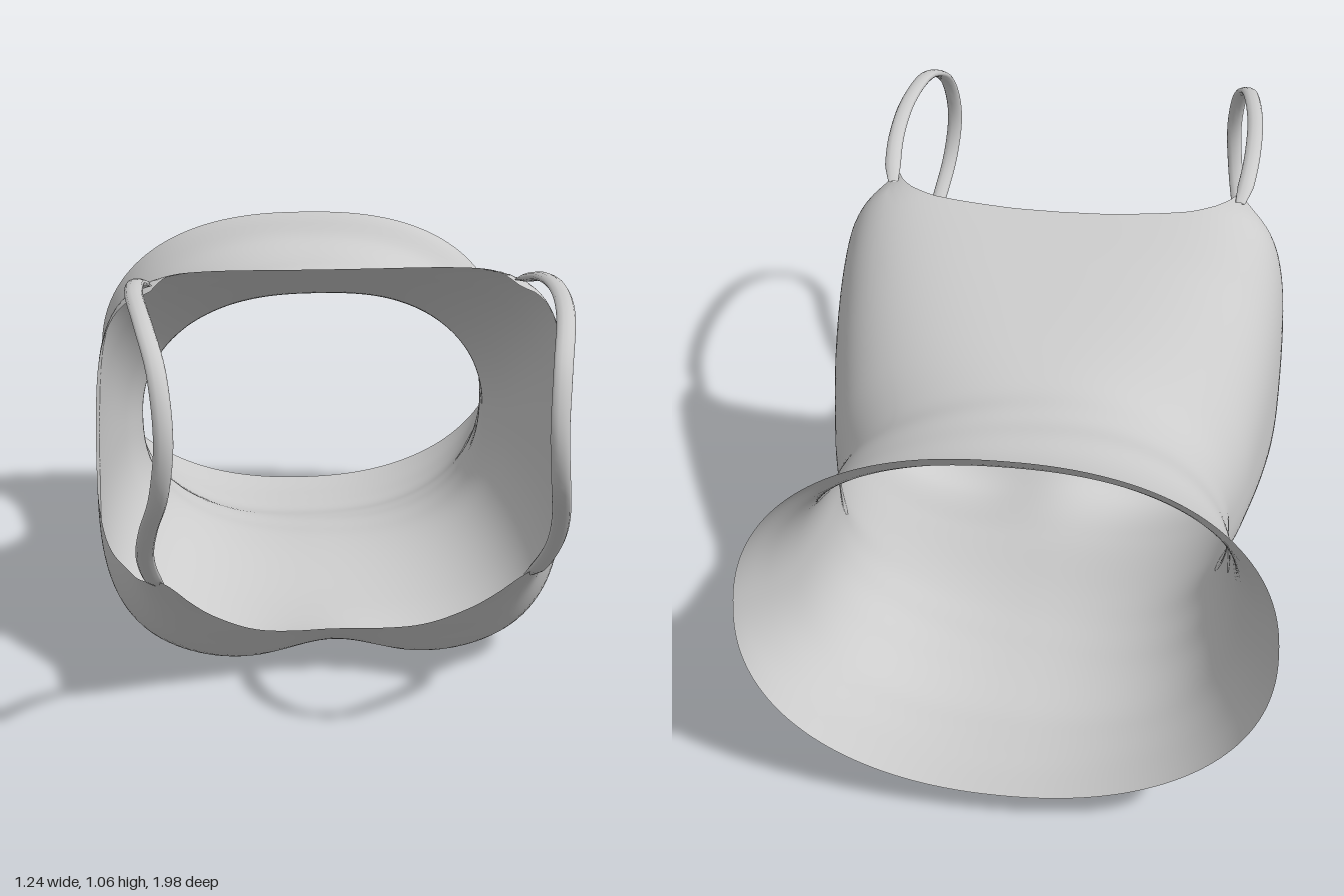
import * as THREE from 'three';

// Body cross-sections: z, half width, bottom y, top y, squareness below, squareness above
const SECTIONS = [
  [-1.0, 0.63, 0.08, 1.0, 2.2, 2.3],
  [-0.9, 0.615, 0.07, 0.99, 2.2, 2.3],
  [-0.84, 0.59, 0.068, 0.965, 2.3, 2.3],
  [-0.78, 0.565, 0.066, 0.9, 2.3, 2.3],
  [-0.7, 0.53, 0.066, 0.865, 2.4, 2.3],
  [-0.58, 0.505, 0.09, 0.845, 2.4, 2.2],
  [-0.4, 0.488, 0.1, 0.825, 2.5, 2.2],
  [-0.25, 0.53, 0.085, 0.85, 2.5, 2.6],
  [0.0, 0.578, 0.03, 0.94, 2.8, 4],
  [0.2, 0.594, -0.014, 1.015, 3.2, 5.7],
  [0.3, 0.577, 0.014, 1.02, 3.4, 5.7],
  [0.42, 0.53, 0.11, 1.03, 3.7, 5.7],
  [0.5, 0.525, 0.198, 1.03, 3.9, 5.7],
  [0.62, 0.53, 0.315, 1.03, 4, 5.7],
];

// Open edge of neckline and armholes: angle (-90 chest centre, 90 back centre), z
const EDGE = [
  [-90, 0.385], [-80, 0.395], [-68, 0.44], [-58, 0.505], [-52, 0.57], [-49, 0.605], [-45, 0.605],
  [-37, 0.5], [-30, 0.42], [-21, 0.33], [-7, 0.245], [6, 0.218], [20, 0.222], [33, 0.24],
  [41, 0.258], [45, 0.282], [48, 0.32], [51, 0.268], [54, 0.22], [60, 0.18], [75, 0.155], [90, 0.15],
];

// Smooth interpolation of one column of a table
function sample(table, t, col) {
  const last = table.length - 1;
  let i = 0;
  while (i < last - 1 && t > table[i + 1][0]) i++;
  const slope = (k) => {
    const a = table[Math.max(k - 1, 0)], b = table[Math.min(k + 1, last)];
    return (b[col] - a[col]) / (b[0] - a[0]);
  };
  const a = table[i], b = table[i + 1], d = b[0] - a[0];
  const u = THREE.MathUtils.clamp((t - a[0]) / d, 0, 1), u2 = u * u, u3 = u2 * u;
  return (2 * u3 - 3 * u2 + 1) * a[col] + (u3 - 2 * u2 + u) * d * slope(i)
    + (3 * u2 - 2 * u3) * b[col] + (u3 - u2) * d * slope(i + 1);
}

// Point of the cloth at an angle and depth
function clothPoint(angle, z) {
  const c = Math.cos(angle), s = Math.sin(angle);
  const [w, bottom, top, nLow, nHigh] = [1, 2, 3, 4, 5].map((k) => sample(SECTIONS, z, k));
  const n = s < 0 ? nLow : nHigh;
  const rho = Math.pow(Math.abs(c) ** n + Math.abs(s) ** n, -1 / n);
  // sides lean in towards the back panel near the armholes
  const lean = s > 0 ? 1 - 0.06 * (rho * s) ** 2 * THREE.MathUtils.smoothstep(z, -0.3, 0.2) : 1;
  const x = w * rho * c * lean;
  let y = (top + bottom) / 2 + rho * s * (top - bottom) / 2;
  // hollow between the two sides of the chest, widening to the neckline
  const hollow = 0.17 + 0.2 * THREE.MathUtils.smoothstep(z, 0.25, 0.45);
  if (s < 0) y += 0.06 * s * s * Math.exp(-((x / hollow) ** 2) - ((z - 0.32) / 0.22) ** 2);
  // soft folds round the waist
  const fold = 0.002 * Math.sin(z * 38 + 2 * Math.sin(angle * 2)) * Math.exp(-(((z + 0.5) / 0.12) ** 2));
  return [x + fold * c, y + fold * s, z];
}

// Grid of points closed round each ring
function ringSurface(rings, around, pointAt) {
  const pos = [], idx = [];
  for (let j = 0; j <= rings; j++) {
    for (let i = 0; i < around; i++) {
      pos.push(...pointAt(i / around, j / rings));
      if (j === rings) continue;
      const a = j * around + i, b = j * around + (i + 1) % around;
      idx.push(a, b, a + around, b, b + around, a + around);
    }
  }
  const geo = new THREE.BufferGeometry();
  geo.setAttribute('position', new THREE.Float32BufferAttribute(pos, 3));
  geo.setIndex(idx);
  geo.computeVertexNormals();
  return geo;
}

// Flattened cord swept along a shoulder loop, thinning where it joins the cloth
function strapGeometry(side) {
  const path = new THREE.CatmullRomCurve3([
    [0.455, 0.99, 0.265], [0.467, 1.01, 0.33], [0.477, 1.035, 0.44], [0.477, 1.047, 0.62],
    [0.455, 1.027, 0.82], [0.428, 0.95, 0.94], [0.417, 0.82, 0.985], [0.43, 0.69, 0.955],
    [0.457, 0.57, 0.84], [0.468, 0.465, 0.72], [0.455, 0.375, 0.62], [0.44, 0.338, 0.575],
  ].map(([x, y, z]) => new THREE.Vector3(x * side, y, z)));
  return ringSurface(60, 10, (u, v) => {
    const p = path.getPoint(v), t = path.getTangent(v);
    const across = new THREE.Vector3(1, 0, 0).addScaledVector(t, -t.x).normalize();
    const out = new THREE.Vector3().crossVectors(t, across);
    const a = u * Math.PI * 2, end = Math.max(0, 1 - Math.min(v, 1 - v) / 0.08);
    p.addScaledVector(across, (0.021 - 0.008 * end) * Math.cos(a));
    p.addScaledVector(out, (0.011 - 0.009 * end) * Math.sin(a));
    return p.toArray();
  });
}

export function createModel() {
  const group = new THREE.Group();
  const material = new THREE.MeshStandardMaterial({ color: 0xcccccc, side: THREE.DoubleSide });

  // Body: from the slanted hem to the neckline and armholes
  const body = new THREE.Mesh(ringSurface(70, 200, (u, v) => {
    const angle = u * Math.PI * 2, s = Math.sin(angle);
    const hem = -0.915 + 0.074 * s;
    const edge = sample(EDGE, THREE.MathUtils.radToDeg(Math.asin(s)), 1);
    return clothPoint(angle, THREE.MathUtils.lerp(hem, edge, v));
  }), material);
  body.name = 'body';
  group.add(body);

  // Shoulder straps
  for (const side of [1, -1]) {
    const strap = new THREE.Mesh(strapGeometry(side), material);
    strap.name = side > 0 ? 'leftStrap' : 'rightStrap';
    group.add(strap);
  }
  return group;
}
